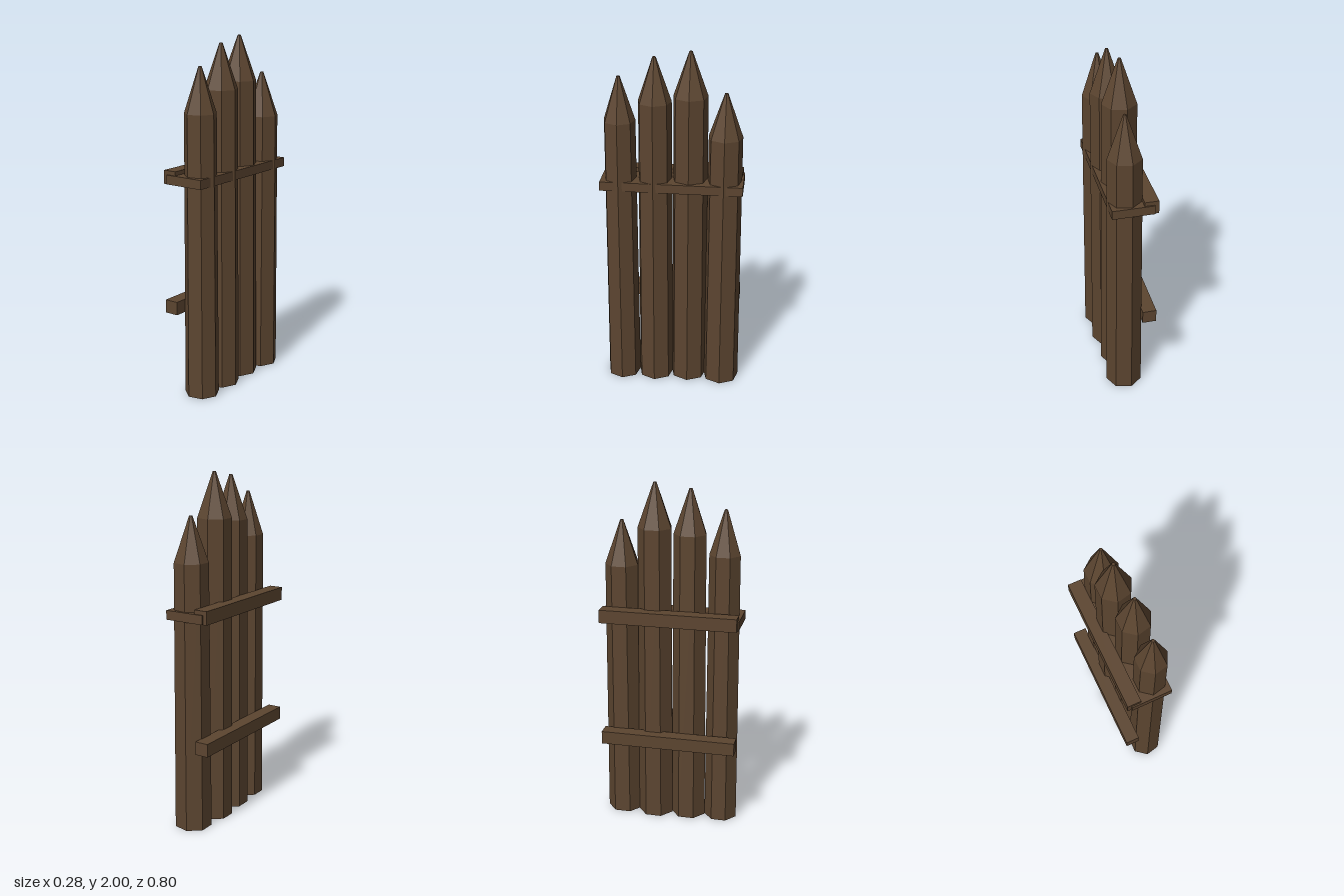
import * as THREE from 'three';

export function createModel() {
  const model = new THREE.Group();
  const wood = new THREE.MeshStandardMaterial({ color: 0x5c4530, flatShading: true });
  wood.name = 'brown wood';

  const add = (parent, name, geometry, x, y, z) => {
    const mesh = new THREE.Mesh(geometry, wood);
    mesh.name = name;
    mesh.position.set(x, y, z);
    parent.add(mesh);
  };

  // Seven-sided tapered trunk, one corner facing +x
  const log = (rTop, rBottom, height, open) =>
    new THREE.CylinderGeometry(rTop, rBottom, height, 7, 1, open, Math.PI / 2);

  // Sharpened stakes: x, z, total height, shoulder radius, base radius, lean
  const stakes = [
    [0.038, 0.293, 1.86, 0.09, 0.098, 0],
    [0.029, 0.098, 1.97, 0.095, 0.104, 0],
    [0.014, -0.098, 2.0, 0.098, 0.106, 0.003],
    [0.027, -0.294, 1.78, 0.097, 0.106, 0],
  ];
  const tipHeight = 0.25;
  for (const [x, z, height, rTop, rBase, lean] of stakes) {
    const stake = new THREE.Group();
    stake.name = 'stake';
    const shaft = height - tipHeight;
    add(stake, 'stakeShaft', log(rTop, rBase, shaft, false), 0, shaft / 2, 0);
    add(stake, 'stakePoint', log(0.009, rTop, tipHeight, false), 0, shaft + tipHeight / 2, 0);
    stake.position.set(x, 0, z);
    stake.rotation.z = lean;
    model.add(stake);
  }

  // Flat binding plank that passes around the stakes
  add(model, 'bindingPlank', new THREE.BoxGeometry(0.236, 0.052, 0.8), 0.002, 1.246, 0);

  // Two rails behind the stakes
  for (const y of [0.512, 1.257]) {
    add(model, 'backRail', new THREE.BoxGeometry(0.08, 0.076, 0.784), -0.1, y, 0);
  }

  return model;
}
